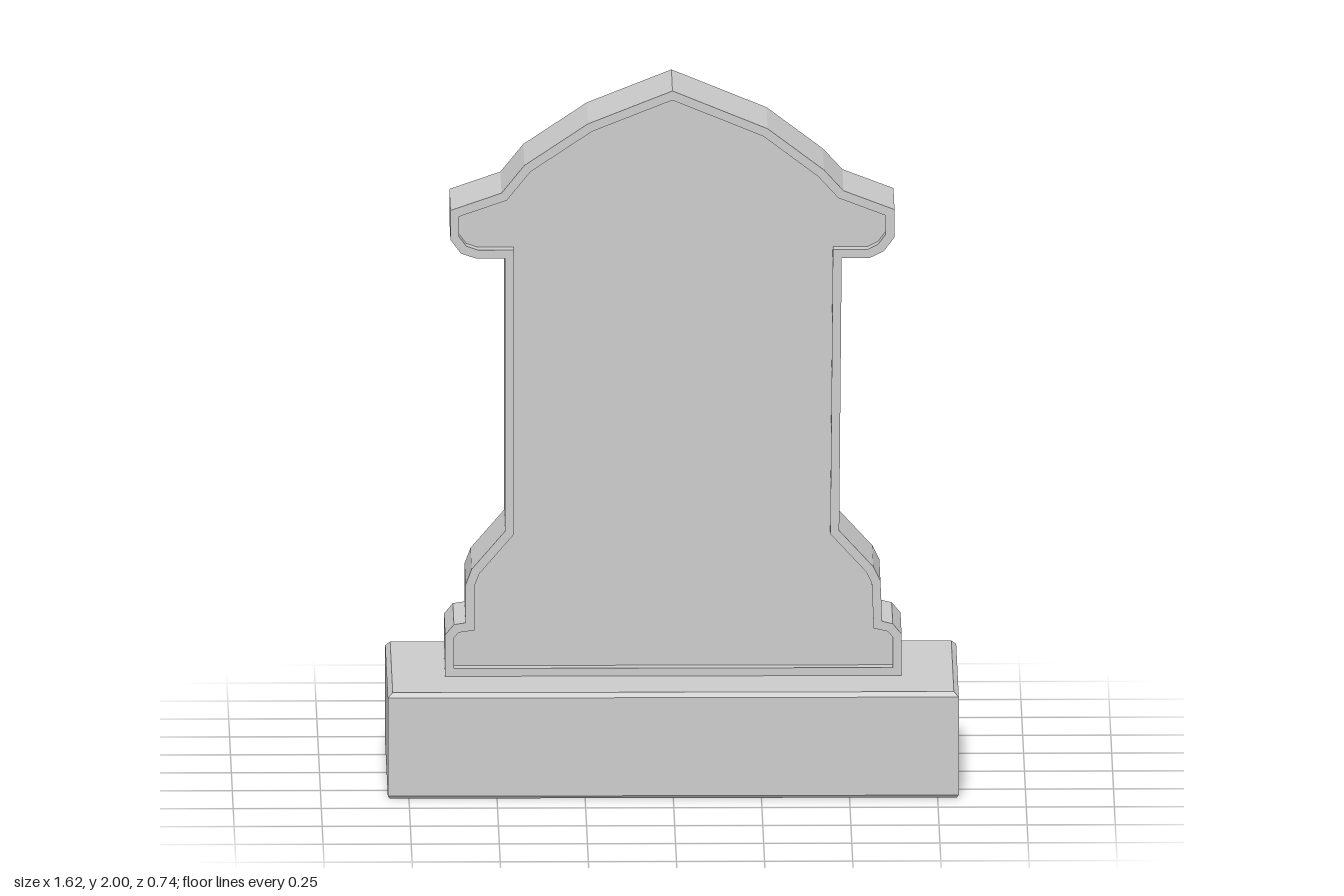
import * as THREE from 'three';

const stoneMaterial = new THREE.MeshStandardMaterial({ color: 0xcccccc, flatShading: true });

// Moves a counter-clockwise outline inwards by d, with mitred corners.
function inset(points, d) {
  const n = points.length;
  const normal = (a, b) => new THREE.Vector2(a.y - b.y, b.x - a.x).normalize();
  return points.map((p, i) => {
    const n1 = normal(points[(i + n - 1) % n], p);
    const n2 = normal(p, points[(i + 1) % n]);
    return n1.clone().add(n2).multiplyScalar(d / (1 + n1.dot(n2))).add(p);
  });
}

// Joins outlines, each lying at its own depth z, and caps both ends.
function loft(rings) {
  const pos = [];
  const put = ({ points, z }, i) => pos.push(points[i].x, points[i].y, z);
  const n = rings[0].points.length;
  for (let r = 0; r < rings.length - 1; r++) {
    const a = rings[r], b = rings[r + 1];
    for (let i = 0; i < n; i++) {
      const j = (i + 1) % n;
      put(a, i); put(a, j); put(b, j);
      put(a, i); put(b, j); put(b, i);
    }
  }
  const cap = (ring, flip) => {
    for (const [i, j, k] of THREE.ShapeUtils.triangulateShape(ring.points.slice(), [])) {
      put(ring, i);
      put(ring, flip ? k : j);
      put(ring, flip ? j : k);
    }
  };
  cap(rings[0], true);
  cap(rings[rings.length - 1], false);
  const geometry = new THREE.BufferGeometry();
  geometry.setAttribute('position', new THREE.Float32BufferAttribute(pos, 3));
  geometry.computeVertexNormals();
  return geometry;
}

const toPoints = (list) => list.map(([x, y]) => new THREE.Vector2(x, y));

export function createModel() {
  const model = new THREE.Group();
  model.name = 'gravestone';

  // Plinth: a block with narrow chamfers along its top and bottom edges
  const block = toPoints([[-0.81, -0.37], [0.81, -0.37], [0.81, 0.37], [-0.81, 0.37]]);
  const plinthGeometry = loft([
    { points: inset(block, 0.006), z: 0 },
    { points: block, z: 0.008 },
    { points: block, z: 0.292 },
    { points: inset(block, 0.014), z: 0.305 },
  ]);
  plinthGeometry.rotateX(-Math.PI / 2);
  const plinth = new THREE.Mesh(plinthGeometry, stoneMaterial);
  plinth.name = 'plinth';
  model.add(plinth);

  // Headstone outline: up the left side, over the peak, down the slightly uneven right side
  const outline = toPoints([
    [0.65, 0.303], [0.65, 0.425], [0.625, 0.455], [0.595, 0.462], [0.59, 0.58], [0.57, 0.62],
    [0.473, 0.725], [0.48, 1.515], [0.56, 1.515], [0.6, 1.535], [0.63, 1.575], [0.63, 1.655],
    [0.485, 1.71], [0.43, 1.77], [0.27, 1.89], [0, 2],
    [-0.24, 1.905], [-0.42, 1.785], [-0.485, 1.705], [-0.63, 1.655], [-0.63, 1.57], [-0.6, 1.53],
    [-0.555, 1.515], [-0.475, 1.515], [-0.475, 0.725], [-0.57, 0.615], [-0.587, 0.57],
    [-0.587, 0.46], [-0.62, 0.455], [-0.645, 0.425], [-0.645, 0.303],
  ]);
  const panel = inset(outline, 0.025);

  // Headstone: flat back, raised rim and sunken panel on the front
  const headstone = new THREE.Mesh(loft([
    { points: outline, z: -0.17 },
    { points: outline, z: 0.13 },
    { points: panel, z: 0.13 },
    { points: panel, z: 0.09 },
  ]), stoneMaterial);
  headstone.name = 'headstone';
  model.add(headstone);

  return model;
}
